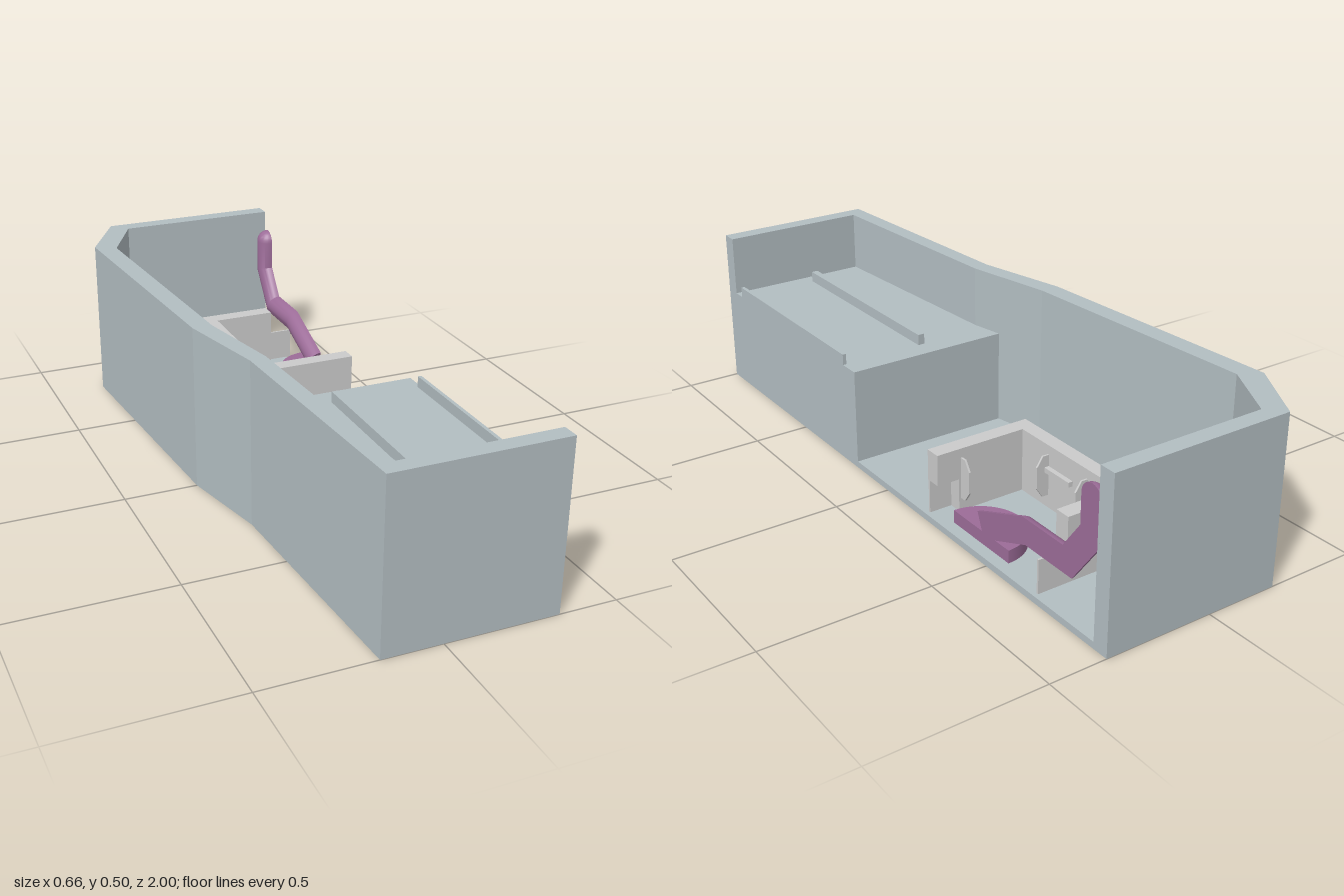
import * as THREE from 'three';
import { toCreasedNormals } from 'three/addons/utils/BufferGeometryUtils.js';

const CUT = 0.33; // plane of the open section side
const hullMat = new THREE.MeshStandardMaterial({ color: 0xb3bec2 });
const boxMat = new THREE.MeshStandardMaterial({ color: 0xcccccc });
const armMat = new THREE.MeshStandardMaterial({ color: 0x9c6c98 });

function add(parent, name, geometry, material) {
  const mesh = new THREE.Mesh(geometry, material);
  mesh.name = name;
  parent.add(mesh);
  return mesh;
}

// Vertical prism over an (x, z) outline
function prism(points, y0, y1) {
  const shape = new THREE.Shape(points.map(([x, z]) => new THREE.Vector2(x, z)));
  const g = new THREE.ExtrudeGeometry(shape, { depth: y1 - y0, bevelEnabled: false });
  return g.rotateX(Math.PI / 2).translate(0, y1, 0);
}

// Box given by its extents
function block(x0, x1, y0, y1, z0, z1) {
  return new THREE.BoxGeometry(x1 - x0, y1 - y0, z1 - z0)
    .translate((x0 + x1) / 2, (y0 + y1) / 2, (z0 + z1) / 2);
}

// Half-round bar along a (z, y, radius) path, flat on the section plane
function halfBar(path) {
  const N = 14, pos = [], idx = [];
  const dir = (a, b) => new THREE.Vector2(b[0] - a[0], b[1] - a[1]).normalize();
  path.forEach((p, i) => {
    const before = i > 0 ? dir(path[i - 1], p) : dir(p, path[1]);
    const after = i < path.length - 1 ? dir(p, path[i + 1]) : before;
    const t = before.clone().add(after).normalize();
    const miter = 1 / t.dot(before);
    for (let j = 0; j <= N; j++) {
      const a = (Math.PI * j) / N, c = p[2] * Math.cos(a) * miter;
      pos.push(CUT - p[2] * Math.sin(a), p[1] + t.x * c, p[0] - t.y * c);
    }
  });
  const R = N + 1, last = (path.length - 1) * R;
  for (let i = 0; i < path.length - 1; i++) {
    for (let j = 0; j < R; j++) {
      const a = i * R + j, b = i * R + ((j + 1) % R);
      idx.push(a, b, b + R, a, b + R, a + R);
    }
  }
  for (let j = 1; j < N; j++) {
    idx.push(0, j + 1, j, last, last + j, last + j + 1);
  }
  const g = new THREE.BufferGeometry();
  g.setAttribute('position', new THREE.Float32BufferAttribute(pos, 3));
  g.setIndex(idx);
  return toCreasedNormals(g, 0.5);
}

function makeHull() {
  const hull = new THREE.Group();
  hull.name = 'hull';
  const outer = [[CUT, -1], [-0.22, -1], [-0.333, -0.8], [-0.278, 0], [-0.215, 0.28], [-0.173, 1], [CUT, 1]];
  const inner = [[CUT, -0.95], [-0.173, -0.95], [-0.27, -0.765], [-0.22, 0], [-0.165, 0.27], [-0.125, 0.95], [CUT, 0.95]];
  add(hull, 'outerWall', prism([...outer, ...inner.slice().reverse()], 0, 0.5), hullMat);

  // Low floor and raised deck
  const split = [-0.185, 0.17];
  add(hull, 'floor', prism([...inner.slice(0, 4), split, [CUT, 0.17]], 0, 0.02), hullMat);
  add(hull, 'deck', prism([split, ...inner.slice(4), [CUT, 0.17]], 0, 0.312), hullMat);

  // Rails on the deck
  for (const [x0, x1] of [[0.047, 0.068], [0.319, CUT]]) {
    add(hull, 'deckRail', block(x0, x1, 0.31, 0.345, 0.235, 0.908), hullMat);
  }
  return hull;
}

function makeEnclosure() {
  const box = new THREE.Group();
  box.name = 'enclosure';
  const y0 = 0.035, y1 = 0.228;
  add(box, 'sideWall', block(0, 0.045, y0, y1, -0.728, -0.222), boxMat);
  add(box, 'backWall', block(0.045, 0.24, y0, y1, -0.728, -0.68), boxMat);
  add(box, 'backLip', block(0.24, CUT, y0, 0.135, -0.728, -0.722), boxMat);

  // Front wall with a recess in its lower inner corner
  add(box, 'frontWall', block(0.045, 0.26, y0, y1, -0.27, -0.222), boxMat);
  add(box, 'frontLintel', block(0.26, CUT, 0.135, y1, -0.27, -0.222), boxMat);
  add(box, 'frontLip', block(0.26, CUT, y0, 0.135, -0.23, -0.224), boxMat);

  // Thin chamfered brackets standing off the walls
  const s = new THREE.Shape([[0, 0.075], [0.02, 0.075], [0.04, 0.105], [0.04, 0.17], [0.02, 0.2], [0, 0.2]]
    .map(([x, y]) => new THREE.Vector2(x, y)));
  const plate = new THREE.ExtrudeGeometry(s, { depth: 0.006, bevelEnabled: false });
  for (const z of [-0.563, -0.393]) {
    add(box, 'sideBracket', plate, boxMat).position.set(0.045, 0, z);
  }
  const front = add(box, 'frontBracket', plate, boxMat);
  front.position.set(0.248, 0, -0.27);
  front.rotation.y = Math.PI / 2;
  add(box, 'bracketBar', block(0.045, 0.06, 0.15, 0.165, -0.5, -0.37), boxMat);
  return box;
}

function makeLever() {
  const lever = new THREE.Group();
  lever.name = 'lever';
  // Half disc foot
  const foot = new THREE.CylinderGeometry(0.126, 0.126, 0.038, 32, 1, false, Math.PI, Math.PI);
  add(lever, 'foot', foot, armMat).position.set(CUT, 0.079, -0.475);
  add(lever, 'footFace', new THREE.PlaneGeometry(0.252, 0.038).rotateY(Math.PI / 2), armMat)
    .position.set(CUT, 0.079, -0.475);

  // Bent arm with a domed upper end
  const r = 0.038, path = [[-0.475, 0.113, r], [-0.665, 0.188, r], [-0.84, 0.188, r], [-0.923, 0.3, r]];
  for (let i = 0; i <= 6; i++) {
    const a = (Math.PI / 2) * (i / 6);
    path.push([-0.923, 0.402 + r * Math.sin(a), Math.max(r * Math.cos(a), 0.0005)]);
  }
  add(lever, 'arm', halfBar(path), armMat);
  return lever;
}

export function createModel() {
  const model = new THREE.Group();
  model.name = 'sectionedHull';
  model.add(makeHull(), makeEnclosure(), makeLever());
  return model;
}
